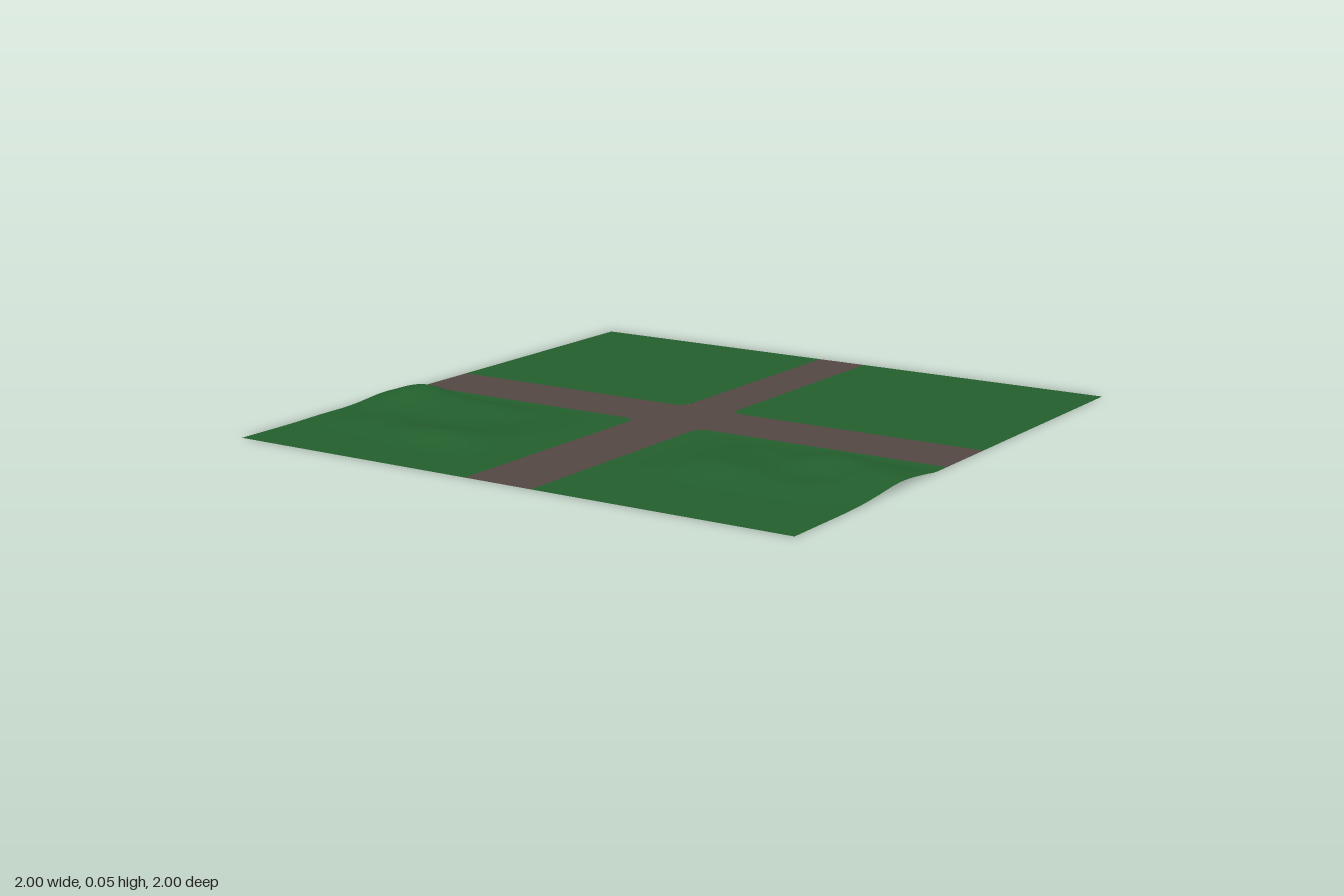
import * as THREE from 'three';

const ARC = 8; // steps in each rounded field corner
const ARC_RADIUS = 0.04;
const ROAD_Z = 0.12;
const ROAD_X = { front: 0.12, back: 0.09 };

// Low mounds on the front fields: x, z, height, spread in x, spread in z
const MOUNDS = [
  [-0.87, 0.3, 0.05, 0.1, 0.12], [-0.62, 0.28, 0.016, 0.13, 0.1],
  [-0.48, 0.67, 0.028, 0.13, 0.08], [-0.33, 0.55, 0.012, 0.09, 0.12],
  [-0.8, 0.62, 0.012, 0.13, 0.09],
  [0.72, 0.3, 0.034, 0.11, 0.1], [0.92, 0.4, 0.03, 0.09, 0.12],
  [0.5, 0.53, 0.023, 0.11, 0.09], [0.38, 0.4, 0.011, 0.08, 0.13],
  [0.75, 0.58, 0.012, 0.13, 0.07],
];

function groundHeight(x, z) {
  let y = 0;
  for (const [mx, mz, h, sx, sz] of MOUNDS) {
    y += h * Math.exp(-(((x - mx) / sx) ** 2 + ((z - mz) / sz) ** 2) / 1.6);
  }
  // steep bank beside the cross road, gentle fade elsewhere
  return y * THREE.MathUtils.smoothstep(z, 0.17, 0.25)
    * THREE.MathUtils.smoothstep(Math.abs(x), 0.18, 0.36)
    * (1 - THREE.MathUtils.smoothstep(z, 0.72, 0.9));
}

// One quarter field: rows run outward from the cross road, columns from the other road
function fieldGeometry(sx, sz) {
  const inner = sz > 0 ? ROAD_X.front : ROAD_X.back;
  const rows = [];
  for (let i = 0; i <= ARC; i++) {
    const a = (i / ARC) * Math.PI / 2;
    rows.push([ROAD_Z + ARC_RADIUS * (1 - Math.cos(a)), inner + ARC_RADIUS * (1 - Math.sin(a))]);
  }
  const zStart = ROAD_Z + ARC_RADIUS;
  for (let i = 1; i <= 42; i++) rows.push([zStart + (1 - zStart) * i / 42, inner]);

  const cols = 44;
  const positions = [], indices = [];
  rows.forEach(([z, x0], r) => {
    for (let c = 0; c <= cols; c++) {
      const x = sx * (x0 + (1 - x0) * c / cols);
      positions.push(x, groundHeight(x, sz * z), sz * z);
      if (r && c) {
        const d = r * (cols + 1) + c, b = d - cols - 1;
        if (sx * sz > 0) indices.push(b - 1, d - 1, b, b, d - 1, d);
        else indices.push(b - 1, b, d - 1, b, d, d - 1);
      }
    }
  });
  const geometry = new THREE.BufferGeometry();
  geometry.setAttribute('position', new THREE.Float32BufferAttribute(positions, 3));
  geometry.setIndex(indices);
  geometry.computeVertexNormals();
  return geometry;
}

// Crossing with rounded inner corners
function roadGeometry() {
  const { front: f, back: b } = ROAD_X, w = ROAD_Z, r = ARC_RADIUS, q = Math.PI / 2;
  const s = new THREE.Shape();
  s.moveTo(-f, -1).lineTo(f, -1);
  s.absarc(f + r, -w - r, r, 2 * q, q, true);
  s.lineTo(1, -w).lineTo(1, w);
  s.absarc(b + r, w + r, r, 3 * q, 2 * q, true);
  s.lineTo(b, 1).lineTo(-b, 1);
  s.absarc(-b - r, w + r, r, 0, -q, true);
  s.lineTo(-1, w).lineTo(-1, -w);
  s.absarc(-f - r, -w - r, r, q, 0, true);
  return new THREE.ShapeGeometry(s, ARC).rotateX(-Math.PI / 2);
}

export function createModel() {
  const grass = new THREE.MeshStandardMaterial({ color: 0x235f2d, side: THREE.DoubleSide });
  grass.name = 'grass green';
  const dirt = new THREE.MeshStandardMaterial({ color: 0x544844, side: THREE.DoubleSide });
  dirt.name = 'road brown';

  const model = new THREE.Group();
  model.name = 'crossroads';
  const add = (name, geometry, material) => {
    const mesh = new THREE.Mesh(geometry, material);
    mesh.name = name;
    model.add(mesh);
  };

  add('road', roadGeometry(), dirt);
  for (const [sz, depth] of [[1, 'front'], [-1, 'back']]) {
    for (const [sx, side] of [[1, 'Left'], [-1, 'Right']]) {
      add(`${depth}${side}Field`, fieldGeometry(sx, sz), grass);
    }
  }
  return model;
}
